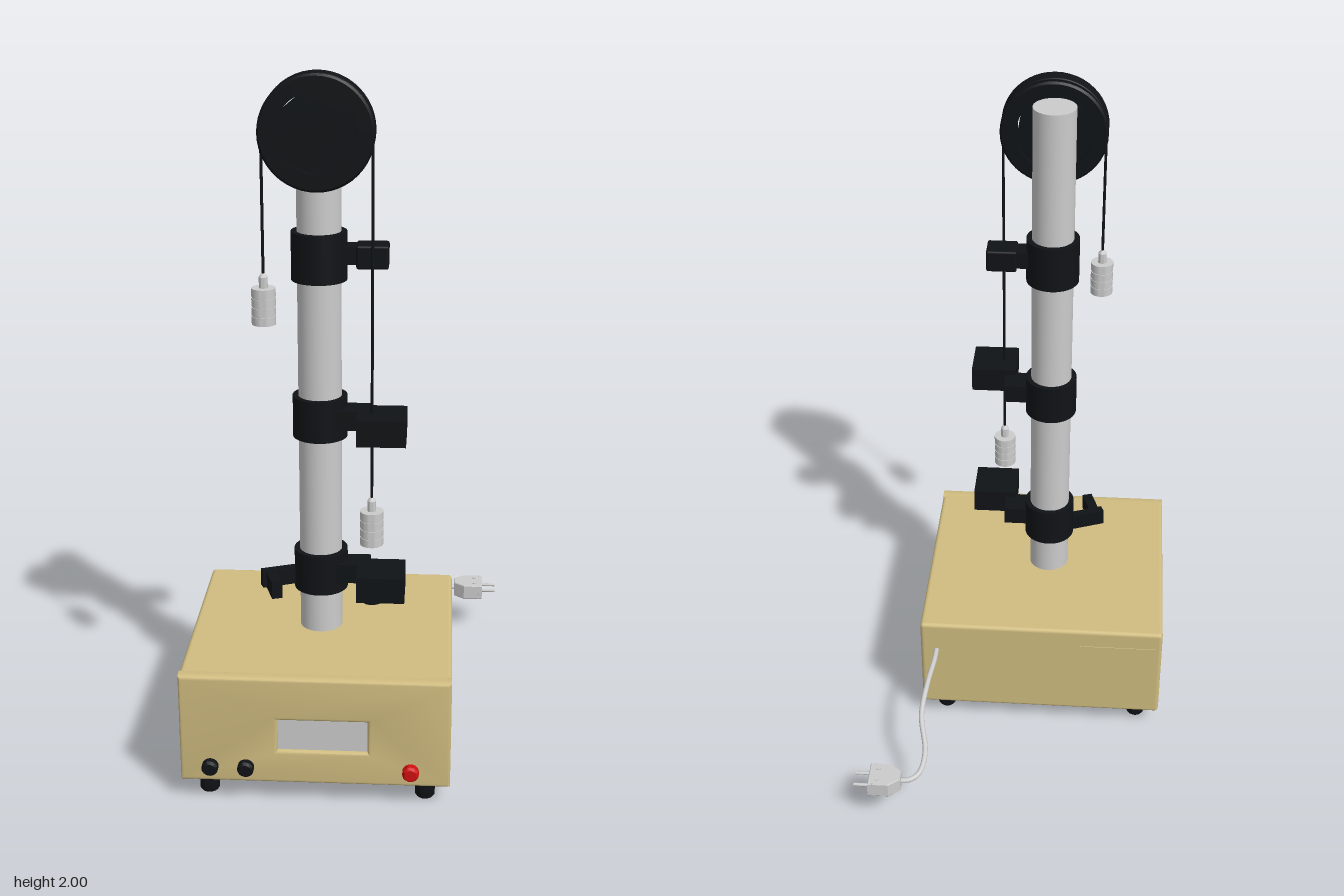
import * as THREE from 'three';
import { RoundedBoxGeometry } from 'three/addons/geometries/RoundedBoxGeometry.js';
import { toCreasedNormals } from 'three/addons/utils/BufferGeometryUtils.js';

const mat = (color) => new THREE.MeshStandardMaterial({ color });
const grey = mat(0xcccccc), black = mat(0x101316), tan = mat(0xd0bc80), red = mat(0xd01010);
const V = (x, y, z) => new THREE.Vector3(x, y, z);

const COL = { x: -0.083, z: 0.22 };              // column axis
const WHEEL = { x: -0.078, y: 1.848, z: 0.332 }; // pulley centre

export function createModel() {
  const root = new THREE.Group();
  root.name = 'pulleyApparatus';

  function add(name, geo, material, x = 0, y = 0, z = 0, parent = root) {
    const m = new THREE.Mesh(geo, material);
    m.name = name;
    m.position.set(x, y, z);
    parent.add(m);
    return m;
  }
  // Box given by its extents
  const box = (name, material, x0, x1, y0, y1, z0, z1) => add(name,
    new THREE.BoxGeometry(x1 - x0, y1 - y0, z1 - z0), material, (x0 + x1) / 2, (y0 + y1) / 2, (z0 + z1) / 2);
  const lathe = (pts, seg = 32) =>
    toCreasedNormals(new THREE.LatheGeometry(pts.map((p) => new THREE.Vector2(...p)), seg), 0.6);
  const cyl = (r, h, seg = 24) => new THREE.CylinderGeometry(r, r, h, seg);
  // Cylinder between two points
  function rod(name, material, a, b, r, seg = 16) {
    const m = add(name, cyl(r, a.distanceTo(b), seg), material);
    m.position.copy(a).add(b).multiplyScalar(0.5);
    m.quaternion.setFromUnitVectors(V(0, 1, 0), b.clone().sub(a).normalize());
  }
  // Horizontal square bar between two plan points
  function bar(name, x0, z0, x1, z1, y, w, h) {
    const m = add(name, new THREE.BoxGeometry(Math.hypot(x1 - x0, z1 - z0), h, w), black,
      (x0 + x1) / 2, y, (z0 + z1) / 2);
    m.rotation.y = -Math.atan2(z1 - z0, x1 - x0);
  }

  // Cabinet: rounded box, with a front plate cut out for the display
  const cx = -0.0775, cy = 0.226;
  add('cabinet', new RoundedBoxGeometry(0.755, 0.324, 0.695, 3, 0.012), tan, cx, cy, 0.2125);
  const plate = new THREE.Shape();
  const hw = 0.3675, hh = 0.152;
  plate.moveTo(-hw, -hh).lineTo(hw, -hh).lineTo(hw, hh).lineTo(-hw, hh).closePath();
  const win = new THREE.Path();
  win.moveTo(-0.113, -0.071).lineTo(-0.113, 0.044).lineTo(0.157, 0.044).lineTo(0.157, -0.071).closePath();
  plate.holes.push(win);
  add('frontPlate', toCreasedNormals(new THREE.ExtrudeGeometry(plate,
    { depth: 0.025, bevelThickness: 0.01, bevelSize: 0.01, bevelSegments: 3 }), 0.6), tan, cx, cy, 0.54);
  box('display', grey, -0.195, 0.085, 0.15, 0.275, 0.55, 0.563);
  box('backLabel', tan, -0.44, -0.2, 0.25, 0.33, -0.137, -0.13);

  // Feet
  const foot = lathe([[0, 0], [0.024, 0], [0.028, 0.006], [0.028, 0.04], [0.034, 0.042], [0.034, 0.066], [0, 0.066]], 24);
  for (const x of [-0.383, 0.23]) for (const z of [-0.063, 0.508]) add('foot', foot, black, x, 0, z);

  // Front knobs and power button
  const knob = lathe([[0, 0], [0.023, 0], [0.023, 0.022], [0.017, 0.03], [0, 0.03]], 24);
  for (const [x, m, name] of [[-0.37, black, 'knob'], [-0.27, black, 'knob'], [0.19, red, 'powerButton']])
    add(name, knob, m, x, 0.113, 0.57).rotation.x = Math.PI / 2;

  // Column and sleeves
  add('column', cyl(0.061, 1.58, 40), grey, COL.x, 1.17, COL.z);
  for (const y of [0.57, 1.035, 1.495]) add('sleeve', cyl(0.077, y > 1.2 ? 0.135 : 0.12, 40), black, COL.x, y, COL.z);

  // Upper sensor
  box('upperSensorNeck', black, -0.04, 0.03, 1.475, 1.525, 0.19, 0.25);
  add('upperSensor', new RoundedBoxGeometry(0.088, 0.065, 0.076, 2, 0.006), black, 0.064, 1.497, 0.222);

  // Middle and lower platforms
  for (const y of [1.043, 0.578]) {
    box('platformNeck', black, -0.04, 0.06, y - 0.034, y + 0.022, 0.2, 0.28);
    box('platform', black, 0.028, 0.163, y - 0.037, y + 0.038, 0.265, 0.4);
  }
  add('bumperDisc', cyl(0.03, 0.009), black, 0.07, 0.522, 0.334);
  add('bumperStem', cyl(0.008, 0.04), black, 0.07, 0.535, 0.334);

  // Cranked holder on the other side of the lower sleeve
  bar('holderArm', -0.13, 0.215, -0.252, 0.262, 0.545, 0.026, 0.05);
  bar('holderTip', -0.228, 0.25, -0.2, 0.338, 0.543, 0.03, 0.05);

  // Pulley wheel: grooved rim, web with three openings, axle
  const pulley = new THREE.Group();
  pulley.name = 'pulley';
  pulley.position.set(WHEEL.x, WHEEL.y, WHEEL.z);
  root.add(pulley);
  add('rim', lathe([[0.108, -0.041], [0.147, -0.041], [0.153, -0.036], [0.153, -0.03], [0.141, -0.004],
    [0.141, 0.004], [0.153, 0.03], [0.153, 0.036], [0.147, 0.041], [0.108, 0.041], [0.108, -0.041]], 48),
  black, 0, 0, 0, pulley).rotation.x = Math.PI / 2;
  const web = new THREE.Shape().absarc(0, 0, 0.115, 0, Math.PI * 2);
  for (let i = 0; i < 3; i++) {
    const a = (10 + i * 120) * Math.PI / 180;
    const hole = new THREE.Path();
    hole.moveTo(0.035 * Math.cos(a), 0.035 * Math.sin(a));
    hole.absarc(0, 0, 0.106, a - 0.3, a + 0.3, false);
    hole.closePath();
    web.holes.push(hole);
  }
  add('web', toCreasedNormals(new THREE.ExtrudeGeometry(web,
    { depth: 0.06, bevelEnabled: false, curveSegments: 24 }), 0.6), black, 0, 0, -0.03, pulley);
  rod('axle', grey, V(WHEEL.x, WHEEL.y, COL.z), V(WHEEL.x, WHEEL.y, 0.305), 0.018);

  // Cord over the wheel, with a weight at each end
  const R = 0.146;
  add('cordArc', new THREE.TorusGeometry(R, 0.004, 8, 40, Math.PI), black, WHEEL.x, WHEEL.y, WHEEL.z);
  const profile = [[0, 0], [0.033, 0]];
  for (const y of [0.025, 0.05, 0.075])
    profile.push([0.033, y - 0.002], [0.031, y - 0.002], [0.031, y + 0.002], [0.033, y + 0.002]);
  profile.push([0.033, 0.1], [0.012, 0.1], [0.012, 0.13], [0.005, 0.14], [0, 0.14]);
  const weight = lathe(profile);
  for (const [side, y] of [[-1, 1.33], [1, 0.693]]) {
    const x = WHEEL.x + side * R;
    rod('cord', black, V(x, y + 0.13, WHEEL.z), V(x, WHEEL.y, WHEEL.z), 0.004, 8);
    add('weight', weight, grey, x, y, WHEEL.z);
  }

  // Mains cable
  const path = new THREE.CatmullRomCurve3([V(0.25, 0.287, -0.12), V(0.252, 0.285, -0.18), V(0.263, 0.272, -0.27),
    V(0.271, 0.232, -0.37), V(0.25, 0.176, -0.47), V(0.262, 0.15, -0.53), V(0.29, 0.143, -0.553), V(0.335, 0.142, -0.557)]);
  add('cable', new THREE.TubeGeometry(path, 60, 0.008, 12), grey);

  // Plug with two pins and two screws
  const pz = -0.558, py = 0.142;
  const body = new THREE.Shape();
  body.moveTo(0.315, -0.016).lineTo(0.347, -0.041).lineTo(0.392, -0.041).lineTo(0.392, -0.036).lineTo(0.398, -0.036)
    .lineTo(0.398, -0.041).lineTo(0.406, -0.041).lineTo(0.406, 0.041).lineTo(0.398, 0.041).lineTo(0.398, 0.036)
    .lineTo(0.392, 0.036).lineTo(0.392, 0.041).lineTo(0.347, 0.041).lineTo(0.315, 0.016).closePath();
  add('plug', new THREE.ExtrudeGeometry(body, { depth: 0.044, bevelThickness: 0.003, bevelSize: 0.002, bevelSegments: 1 }),
    grey, 0, py + 0.022, pz).rotation.x = Math.PI / 2;
  for (const s of [-1, 1]) {
    rod('plugPin', grey, V(0.4, py, pz + s * 0.023), V(0.452, py, pz + s * 0.023), 0.005, 12);
    add('plugScrew', cyl(0.007, 0.004, 12), grey, 0.382, py + 0.026, pz + s * 0.021);
  }
  return root;
}
